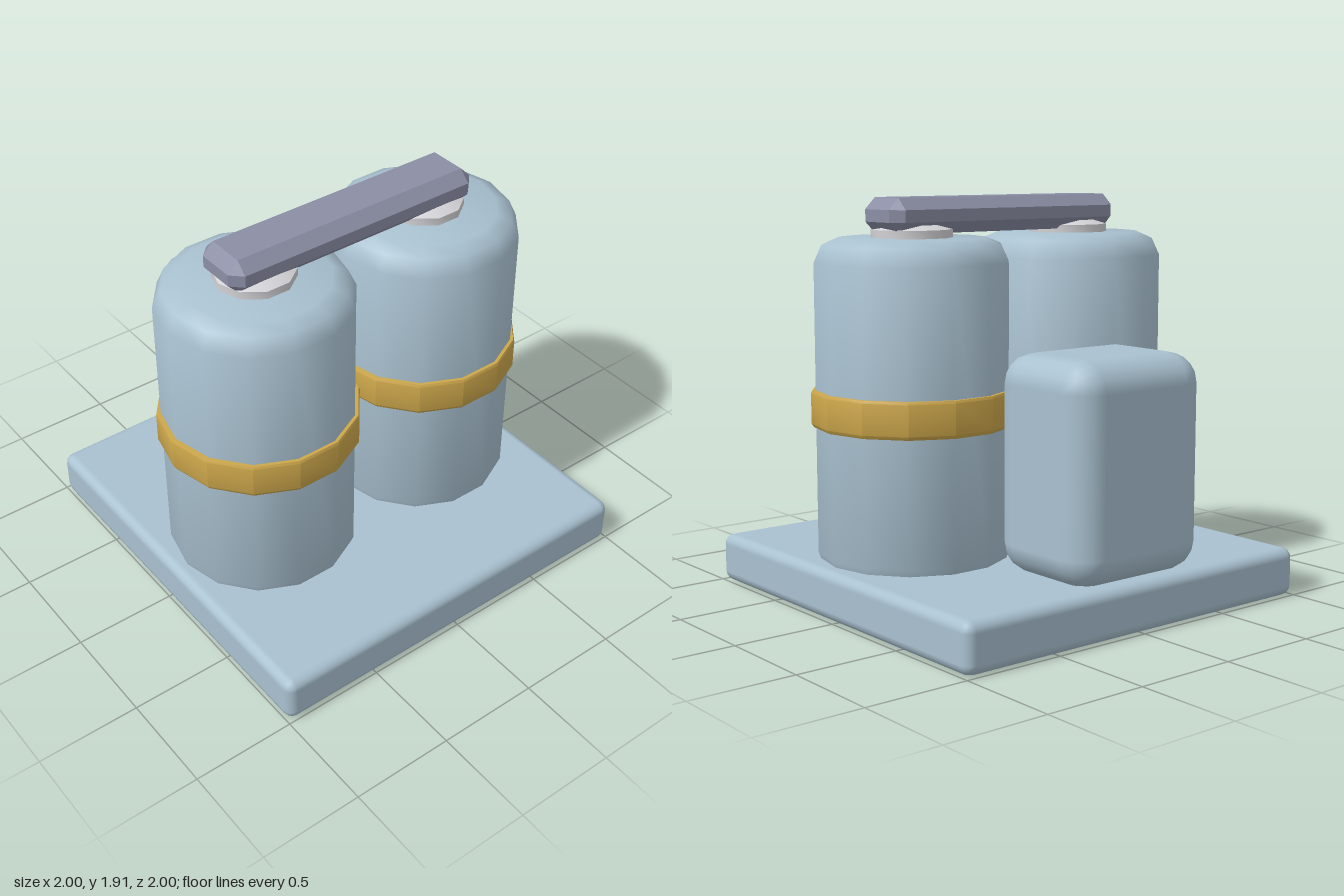
import * as THREE from 'three';
import { toCreasedNormals } from 'three/addons/utils/BufferGeometryUtils.js';
import { RoundedBoxGeometry } from 'three/addons/geometries/RoundedBoxGeometry.js';
import { ConvexGeometry } from 'three/addons/geometries/ConvexGeometry.js';

const paint = (name, color) => {
  const m = new THREE.MeshStandardMaterial({ color });
  m.name = name;
  return m;
};

// Turned solid with a vertex on the x axis; profile points are [radius, height]
function turned(profile, sides, crease) {
  const points = profile.map(([r, y]) => new THREE.Vector2(r, y));
  const geometry = new THREE.LatheGeometry(points, sides).rotateY(Math.PI / 2);
  return toCreasedNormals(geometry, crease);
}

// Box with flat 45 degree bevels on every edge
function bevelledBox(w, h, d, c) {
  const [x, y, z] = [w / 2, h / 2, d / 2];
  const points = [];
  for (const i of [-1, 1]) for (const j of [-1, 1]) for (const k of [-1, 1]) {
    points.push(
      new THREE.Vector3(i * x, j * (y - c), k * (z - c)),
      new THREE.Vector3(i * (x - c), j * y, k * (z - c)),
      new THREE.Vector3(i * (x - c), j * (y - c), k * z));
  }
  return new ConvexGeometry(points);
}

export function createModel() {
  const model = new THREE.Group();
  model.name = 'tankUnit';

  const blue = paint('paleBlue', 0xa9c1d0);
  const gold = paint('gold', 0xcda74b);
  const steel = paint('steel', 0x8b8ea5);
  const silver = paint('silver', 0xd2d1d5);

  const add = (name, geometry, material, x, y, z) => {
    const mesh = new THREE.Mesh(geometry, material);
    mesh.name = name;
    mesh.position.set(x, y, z);
    model.add(mesh);
  };

  // Base plate and rear housing
  add('basePlate', new RoundedBoxGeometry(2, 0.235, 2, 2, 0.05), blue, 0, 0.1175, 0);
  add('rearHousing', new RoundedBoxGeometry(0.765, 1.005, 0.61, 2, 0.14), blue, 0, 0.7325, -0.695);

  // Twin tanks with bands and caps
  const tank = turned([[0, 0.22], [0.44, 0.22], [0.457, 0.265], [0.457, 1.62],
    [0.42, 1.7], [0.35, 1.73], [0, 1.73]], 14, 0.85);
  const band = turned([[0.44, 0.86], [0.468, 0.86], [0.479, 0.877], [0.479, 1.02],
    [0.473, 1.032], [0.44, 1.032]], 14, 0.6);
  const cap = turned([[0, 1.72], [0.19, 1.72], [0.19, 1.768], [0.1, 1.81], [0, 1.81]], 10, 0.7);
  for (const [side, x] of [['left', 0.479], ['right', -0.481]]) {
    add(side + 'Tank', tank, blue, x, 0, 0.077);
    add(side + 'Band', band, gold, x, 0, 0.077);
    add(side + 'Cap', cap, silver, x, 0, 0.077);
  }

  // Bar joining the two caps
  add('topBar', bevelledBox(1.355, 0.165, 0.295, 0.054), steel, -0.001, 1.8325, 0.073);

  return model;
}
